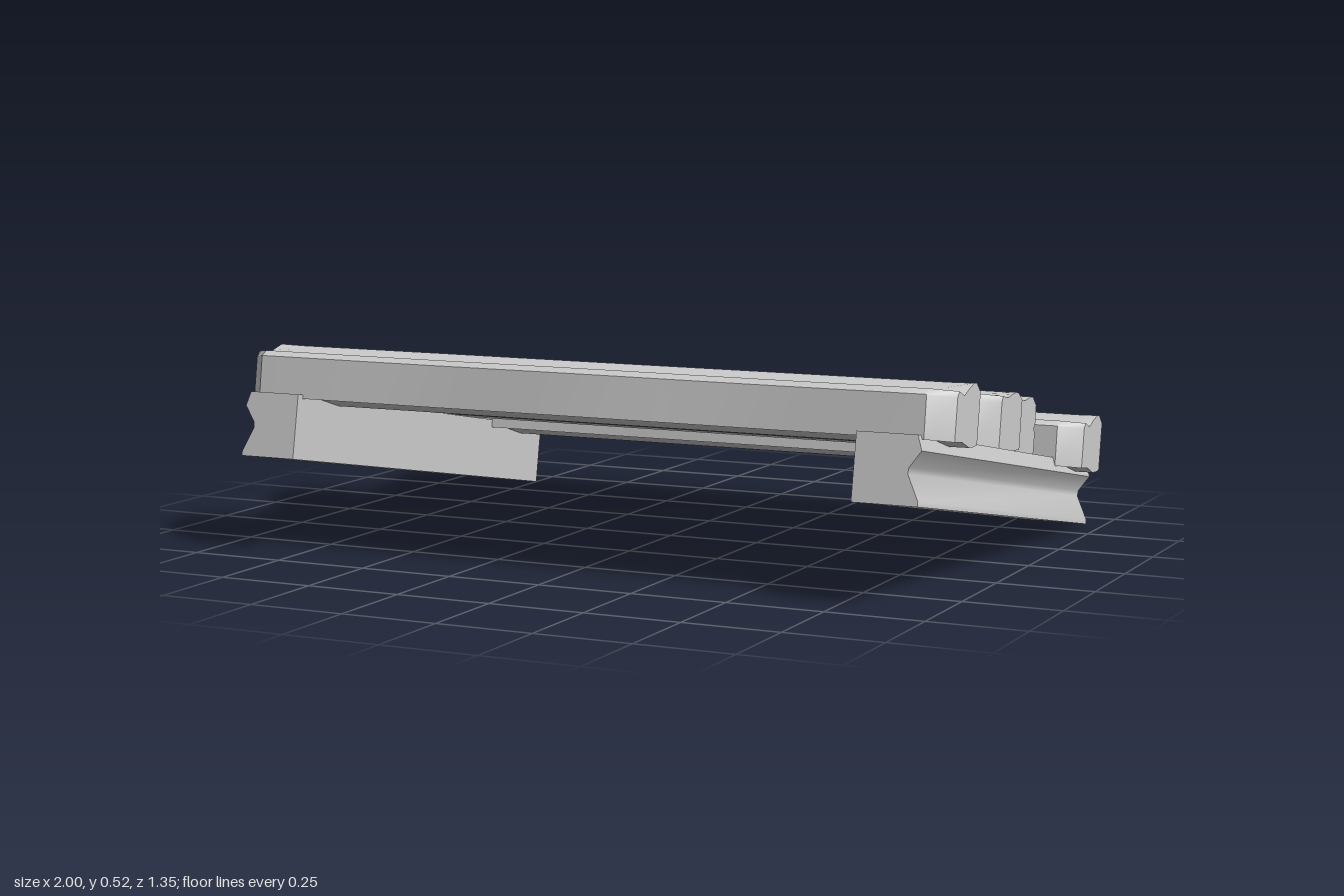
import * as THREE from 'three';
import { toCreasedNormals } from 'three/addons/utils/BufferGeometryUtils.js';

// Skins a beam running along x. section: [u, v] loop (front-bottom, over the top, to the back);
// stations: [x, depthScale] along the length.
function beam(name, section, stations, crease) {
  const us = section.map(p => p[0]), vs = section.map(p => p[1]);
  const cu = (Math.max(...us) + Math.min(...us)) / 2;
  const cv = (Math.max(...vs) + Math.min(...vs)) / 2;
  const n = section.length, pos = [];
  const at = (s, i) => [stations[s][0], section[i % n][1], cu + (section[i % n][0] - cu) * stations[s][1]];
  const last = stations.length - 1;
  for (let i = 0; i < n; i++) {
    for (let s = 0; s < last; s++) {
      const a = at(s, i), b = at(s + 1, i), c = at(s + 1, i + 1), d = at(s, i + 1);
      pos.push(...a, ...b, ...c, ...a, ...c, ...d);
    }
    // end caps
    pos.push(stations[0][0], cv, cu, ...at(0, i), ...at(0, i + 1));
    pos.push(stations[last][0], cv, cu, ...at(last, i + 1), ...at(last, i));
  }
  const geo = new THREE.BufferGeometry();
  geo.setAttribute('position', new THREE.Float32BufferAttribute(pos, 3));
  return mesh(name, toCreasedNormals(geo, crease));
}

function mesh(name, geo) {
  const m = new THREE.Mesh(geo, new THREE.MeshStandardMaterial({ color: 0xcccccc }));
  m.name = name;
  return m;
}

// Gently waisted plan outline, optionally with chamfered ends
function stationsFor(x0, x1, waist, chamfer) {
  const list = [];
  const a = chamfer ? x0 + 0.055 : x0, b = chamfer ? x1 - 0.055 : x1;
  if (chamfer) list.push([x0, 0.57]);
  for (let i = 0; i <= 16; i++) {
    const t = i / 16;
    list.push([a + (b - a) * t, 1 - waist * (1 - Math.cos(t * Math.PI * 4)) / 2]);
  }
  if (chamfer) list.push([x1, 0.57]);
  return list;
}

export function createModel() {
  const root = new THREE.Group();
  root.name = 'slattedPlatform';
  const deck = new THREE.Group();
  deck.name = 'tiltedDeck';
  deck.rotation.x = -0.187;
  deck.position.z = -0.645;
  root.add(deck);

  // Side rails, grooved along the outer face
  for (const [name, side, inner, outer] of [['leftRail', 1, 0.785, 0.95], ['rightRail', -1, 0.75, 0.905]]) {
    const profile = [[inner, 0], [outer, 0], [outer, 0.012], [outer - 0.03, 0.075],
      [outer - 0.028, 0.09], [outer, 0.13], [outer - 0.012, 0.167], [inner, 0.167]];
    const shape = new THREE.Shape(profile.map(([x, y]) => new THREE.Vector2(side * x, y)));
    const geo = new THREE.ExtrudeGeometry(shape, { depth: 1.343, bevelEnabled: false });
    deck.add(mesh(name, toCreasedNormals(geo, 0.9)));
  }

  // Wide outer slats, sharing one worn profile
  const wide = [[1.322, 0.157], [1.326, 0.262], [1.308, 0.277], [1.28, 0.274], [1.246, 0.269],
    [1.19, 0.288], [1.131, 0.304], [1.1, 0.305], [1.046, 0.286], [1.043, 0.159],
    [1.09, 0.153], [1.14, 0.15], [1.23, 0.16]];
  deck.add(beam('frontSlat', wide, stationsFor(-0.935, 1, 0.07, true), 0.6));
  deck.add(beam('backSlat', wide.map(([u, v]) => [u - 1.018, v - 0.012]), stationsFor(-0.935, 1, 0.07, true), 0.6));

  // Middle wide slat, shifted to the other side
  const middle = [[0.791, 0.166], [0.796, 0.282], [0.785, 0.299], [0.75, 0.298], [0.713, 0.298],
    [0.66, 0.308], [0.61, 0.316], [0.57, 0.315], [0.515, 0.3], [0.506, 0.172], [0.65, 0.165]];
  deck.add(beam('middleSlat', middle, stationsFor(-1, 0.93, 0.06, true), 0.6));

  // Narrow slats with nicked edges
  const frontNarrow = [[1.019, 0.168], [1.021, 0.225], [1.012, 0.232], [1.021, 0.24], [1.02, 0.281],
    [1.01, 0.292], [0.946, 0.294], [0.9, 0.31], [0.865, 0.312], [0.835, 0.307], [0.818, 0.292], [0.815, 0.167]];
  deck.add(beam('frontNarrowSlat', frontNarrow, stationsFor(-0.825, 0.89, 0.05, false), 0.6));
  const backNarrow = [[0.482, 0.169], [0.489, 0.18], [0.489, 0.215], [0.479, 0.224], [0.489, 0.234],
    [0.489, 0.286], [0.478, 0.302], [0.424, 0.306], [0.385, 0.319], [0.362, 0.319], [0.331, 0.3],
    [0.328, 0.25], [0.338, 0.238], [0.327, 0.226], [0.325, 0.178], [0.333, 0.169]];
  deck.add(beam('backNarrowSlat', backNarrow, stationsFor(-0.825, 0.89, 0.06, false), 0.6));

  return root;
}
